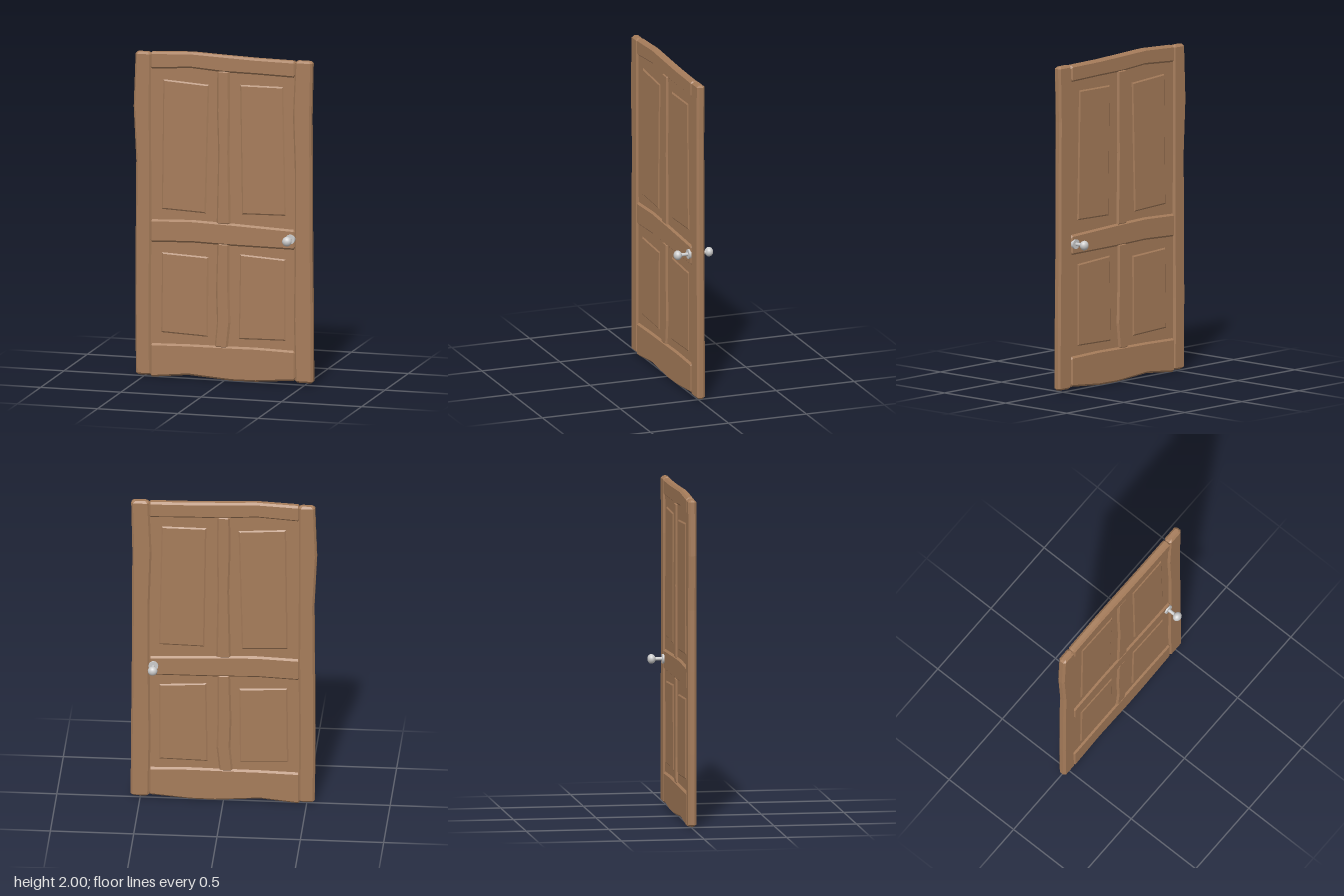
import * as THREE from 'three';

const wood = new THREE.MeshStandardMaterial({ color: 0xa67c5a, flatShading: true });
const metal = new THREE.MeshStandardMaterial({ color: 0xcccccc });

// Uneven board with chamfered edges. Stations are [position along, low edge, high edge].
function board(name, stations, vertical, depth = 0.025, c = 0.012) {
  const first = stations[0], last = stations[stations.length - 1];
  const rings = [
    [first[0], first[1] + c, first[2] - c, depth - c],
    [first[0] + c, first[1], first[2], depth],
    ...stations.slice(1, -1).map((s) => [...s, depth]),
    [last[0] - c, last[1], last[2], depth],
    [last[0], last[1] + c, last[2] - c, depth - c],
  ];
  const pos = [], idx = [], n = 8;
  const tri = (a, b, d) => (vertical ? idx.push(a, b, d) : idx.push(a, d, b));
  for (const [t, lo, hi, d] of rings) {
    const e = d * 0.5;
    const section = [[hi, -d + e], [hi, d - e], [hi - c, d], [lo + c, d],
      [lo, d - e], [lo, -d + e], [lo + c, -d], [hi - c, -d]];
    for (const [u, z] of section) pos.push(...(vertical ? [u, t, z] : [t, u, z]));
  }
  for (let r = 0; r < rings.length - 1; r++) {
    for (let k = 0; k < n; k++) {
      const a = r * n + k, b = r * n + (k + 1) % n;
      tri(a, a + n, b);
      tri(b, a + n, b + n);
    }
  }
  const end = (rings.length - 1) * n;
  for (let k = 1; k < n - 1; k++) {
    tri(0, k, k + 1);
    tri(end, end + k + 1, end + k);
  }
  const geo = new THREE.BufferGeometry();
  geo.setAttribute('position', new THREE.Float32BufferAttribute(pos, 3));
  geo.setIndex(idx);
  const flat = geo.toNonIndexed();
  flat.computeVertexNormals();
  const mesh = new THREE.Mesh(flat, wood);
  mesh.name = name;
  return mesh;
}

// Raised panel field, slightly out of square, bevelled on both faces
function raisedPanel(name, corners) {
  const shape = new THREE.Shape(corners.map(([x, y]) => new THREE.Vector2(x, y)));
  const geo = new THREE.ExtrudeGeometry(shape, {
    depth: 0.024, bevelEnabled: true, bevelThickness: 0.007,
    bevelSize: 0.01, bevelOffset: -0.01, bevelSegments: 1,
  });
  geo.translate(0, 0, -0.012);
  const mesh = new THREE.Mesh(geo, wood);
  mesh.name = name;
  return mesh;
}

export function createModel() {
  const door = new THREE.Group();
  door.name = 'door';

  // Upright stiles
  door.add(board('rightStile', [
    [0.012, -0.548, -0.452], [0.45, -0.552, -0.455], [0.95, -0.549, -0.45],
    [1.32, -0.546, -0.452], [1.65, -0.562, -0.453], [1.985, -0.55, -0.452],
  ], true));
  door.add(board('leftStile', [
    [0.018, 0.444, 0.556], [0.4, 0.436, 0.555], [0.8, 0.441, 0.55],
    [1.3, 0.442, 0.548], [1.65, 0.43, 0.546], [1.985, 0.444, 0.553],
  ], true));

  // Cross rails
  door.add(board('topRail', [
    [-0.46, 1.885, 1.988], [-0.2, 1.902, 2], [0.0, 1.888, 1.992],
    [0.2, 1.886, 1.985], [0.448, 1.88, 1.982],
  ], false));
  door.add(board('lockRail', [
    [-0.46, 0.825, 0.965], [-0.2, 0.836, 0.975], [0.05, 0.83, 0.968], [0.448, 0.828, 0.952],
  ], false));
  door.add(board('bottomRail', [
    [-0.46, 0.002, 0.208], [-0.22, 0.025, 0.214], [0.05, 0.006, 0.216],
    [0.2, 0.008, 0.218], [0.448, 0.028, 0.212],
  ], false));

  // Central mullions
  door.add(board('upperMullion', [
    [0.955, -0.046, 0.044], [1.4, -0.036, 0.036], [1.65, -0.044, 0.04], [1.9, -0.042, 0.038],
  ], true, 0.024));
  door.add(board('lowerMullion', [
    [0.2, -0.058, 0.026], [0.36, -0.044, 0.042], [0.55, -0.05, 0.036], [0.845, -0.042, 0.036],
  ], true, 0.024));

  // Thin backing behind the panels
  const backing = new THREE.Mesh(new THREE.BoxGeometry(0.92, 1.74, 0.026), wood);
  backing.name = 'panelBacking';
  backing.position.set(-0.005, 1.05, 0);
  door.add(backing);

  // Four raised panels
  door.add(raisedPanel('upperRightPanel', [[-0.388, 1.03], [-0.11, 1.018], [-0.09, 1.808], [-0.378, 1.826]]));
  door.add(raisedPanel('upperLeftPanel', [[0.112, 1.026], [0.388, 1.032], [0.372, 1.822], [0.1, 1.82]]));
  door.add(raisedPanel('lowerRightPanel', [[-0.392, 0.276], [-0.098, 0.264], [-0.094, 0.755], [-0.386, 0.768]]));
  door.add(raisedPanel('lowerLeftPanel', [[0.092, 0.262], [0.386, 0.268], [0.386, 0.768], [0.1, 0.784]]));

  // A knob with rose and spindle on each face
  for (const side of [1, -1]) {
    const handle = new THREE.Group();
    handle.name = side > 0 ? 'frontHandle' : 'backHandle';
    const rod = (name, r, from, to) => {
      const mesh = new THREE.Mesh(new THREE.CylinderGeometry(r, r, to - from, 24), metal);
      mesh.name = name;
      mesh.rotation.x = Math.PI / 2;
      mesh.position.z = (from + to) / 2;
      handle.add(mesh);
    };
    rod('rose', 0.029, 0, 0.036);
    rod('spindle', 0.01, 0.03, 0.09);
    const knob = new THREE.Mesh(new THREE.SphereGeometry(0.029, 24, 16), metal);
    knob.name = 'knob';
    knob.scale.z = 0.86;
    knob.position.z = 0.1;
    handle.add(knob);
    handle.position.set(0.418, 0.895, 0);
    if (side < 0) handle.rotation.y = Math.PI;
    door.add(handle);
  }
  return door;
}
